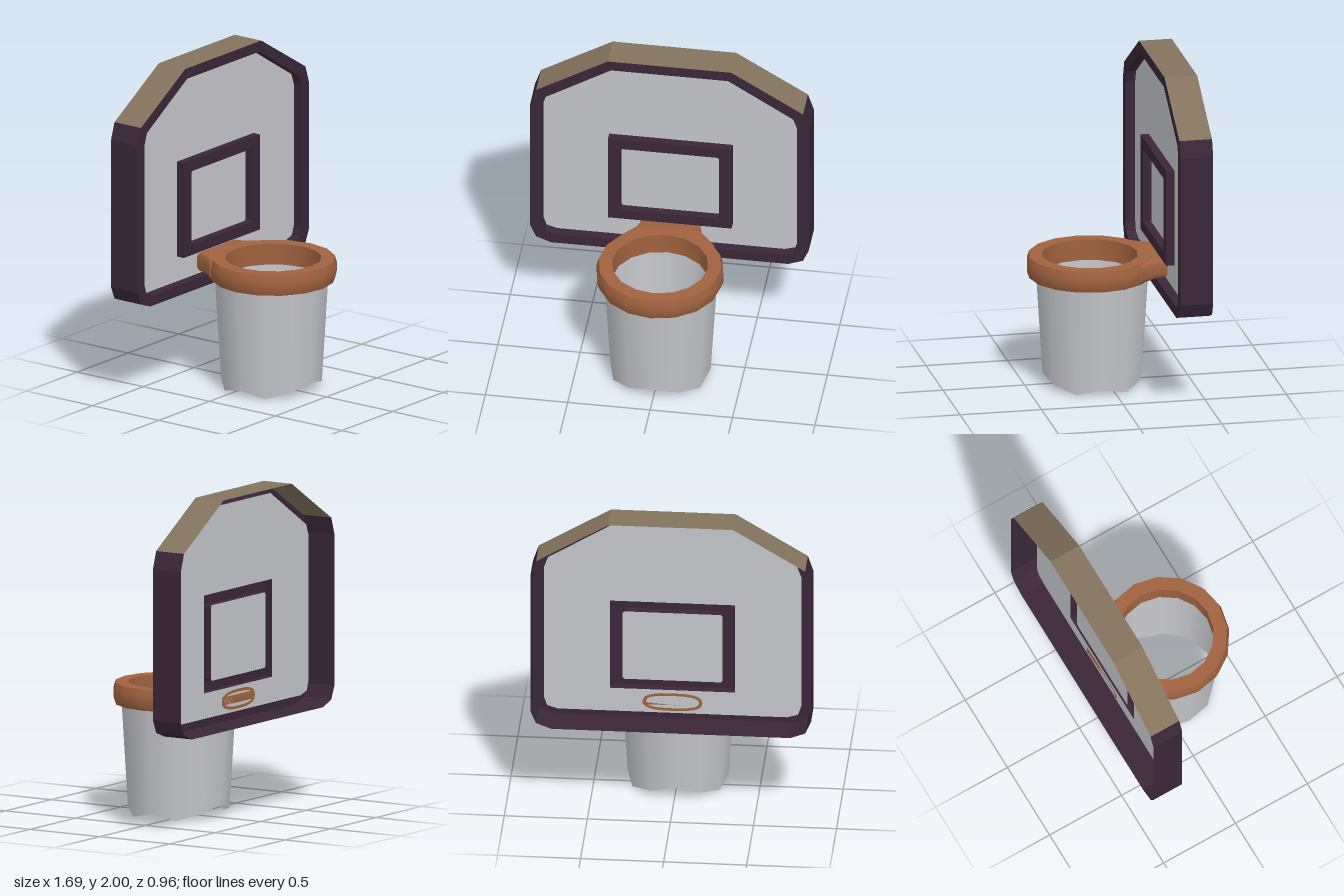
import * as THREE from 'three';
import { toCreasedNormals } from 'three/addons/utils/BufferGeometryUtils.js';

const material = (name, color, side = THREE.DoubleSide) => {
  const m = new THREE.MeshStandardMaterial({ color, side });
  m.name = name;
  return m;
};

const FRONT = -0.28, BACK = -0.48, PANEL = -0.34, TARGET = -0.29;

// Mirrors the right half of an outline (bottom to top) into a full loop
const mirrored = (half) => [...half, ...half.map(([x, y]) => [-x, y]).reverse()];

const shapeOf = (points, holes = []) => {
  const shape = new THREE.Shape(points.map((p) => new THREE.Vector2(...p)));
  for (const h of holes) shape.holes.push(new THREE.Path(h.map((p) => new THREE.Vector2(...p))));
  return shape;
};

// Flat-shaded wall following a polyline, from depth z0 to z1
function wall(points, z0, z1) {
  const pos = [];
  for (let i = 0; i < points.length - 1; i++) {
    const [a, b] = [points[i], points[i + 1]];
    pos.push(...a, z0, ...b, z0, ...b, z1, ...a, z0, ...b, z1, ...a, z1);
  }
  const g = new THREE.BufferGeometry();
  g.setAttribute('position', new THREE.Float32BufferAttribute(pos, 3));
  g.computeVertexNormals();
  return g;
}

export function createModel() {
  const model = new THREE.Group();
  const purple = material('dark purple', 0x3a2638);
  const tan = material('tan', 0x83735d);
  const grey = material('light grey', 0xc4c5ca);
  const orange = material('burnt orange', 0xa0623f);

  const add = (name, geometry, mat, x = 0, y = 0, z = 0) => {
    const mesh = new THREE.Mesh(geometry, mat);
    mesh.name = name;
    mesh.position.set(x, y, z);
    model.add(mesh);
    return mesh;
  };
  const closed = (p) => [...p, p[0]];
  const inward = (p) => closed(p).reverse();

  // Board frame: open-backed shell with a front rim and an inner lip
  const outer = mirrored([[0.72, 0.595], [0.81, 0.63], [0.845, 0.71], [0.845, 1.63], [0.81, 1.735], [0.375, 2]]);
  const inner = mirrored([[0.69, 0.66], [0.755, 0.68], [0.775, 0.74], [0.775, 1.62], [0.75, 1.69], [0.355, 1.935]]);
  add('frameTopWall', wall(outer.slice(4, 8), BACK, FRONT), tan);
  add('frameSideWall', wall([...outer.slice(7), ...outer.slice(0, 5)], BACK, FRONT), purple);
  add('frameRim', new THREE.ShapeGeometry(shapeOf(outer, [inner])), purple, 0, 0, FRONT);
  add('frameLip', wall(inward(inner), PANEL, FRONT), purple);

  // Raised target rectangle, hollow at the back
  const targetOuter = mirrored([[0.375, 0.815], [0.375, 1.41]]);
  const targetInner = mirrored([[0.29, 0.88], [0.3, 0.89], [0.3, 1.33], [0.29, 1.34]]);
  add('targetRim', new THREE.ShapeGeometry(shapeOf(targetOuter, [targetInner])), purple, 0, 0, TARGET);
  add('targetOuterWall', wall(closed(targetOuter), PANEL, TARGET), purple);
  add('targetInnerWall', wall(inward(targetInner), PANEL, TARGET), purple);

  // Board panels around and inside the target
  add('boardPanel', new THREE.ShapeGeometry(shapeOf(inner, [targetOuter])), grey, 0, 0, PANEL);
  add('targetPanel', new THREE.ShapeGeometry(shapeOf(targetInner)), grey, 0, 0, PANEL);

  // Hoop with a softly bulging outside
  const profile = [[0.29, 0.67], [0.37, 0.67], [0.385, 0.71], [0.385, 0.755], [0.372, 0.8], [0.29, 0.8], [0.29, 0.67]];
  const hoop = new THREE.LatheGeometry(profile.map((p) => new THREE.Vector2(...p)), 16);
  add('hoop', toCreasedNormals(hoop, 0.6), orange, 0, 0, 0.1);

  // Neck joining the hoop to the board
  const neckPlan = [[-0.18, PANEL], [0.18, PANEL], [0.2, -0.27], [0.29, -0.16]];
  for (let i = 0; i <= 8; i++) {
    const a = THREE.MathUtils.lerp(0.9, -0.9, i / 8);
    neckPlan.push([0.33 * Math.sin(a), 0.1 - 0.33 * Math.cos(a)]);
  }
  neckPlan.push([-0.29, -0.16], [-0.2, -0.27]);
  const neck = new THREE.ExtrudeGeometry(shapeOf(neckPlan), {
    depth: 0.05, bevelThickness: 0.036, bevelSize: 0.025, bevelOffset: -0.025, bevelSegments: 3,
  });
  neck.rotateX(Math.PI / 2);
  add('hoopNeck', toCreasedNormals(neck, 0.7), orange, 0, 0.762, 0);

  // Oval edge of the neck on the back of the board
  const oval = (rx, ry) => Array.from({ length: 20 }, (_, i) => {
    const a = (i / 20) * Math.PI * 2;
    const soft = (v) => Math.sign(v) * Math.abs(v) ** 0.75;
    return [rx * soft(Math.cos(a)), ry * soft(Math.sin(a))];
  });
  add('neckBackEdge', new THREE.ShapeGeometry(shapeOf(oval(0.18, 0.06), [oval(0.16, 0.042)])),
    orange, 0, 0.735, PANEL - 0.004);

  // Tapered net with a wavy lower edge
  const net = new THREE.CylinderGeometry(0.345, 0.305, 0.64, 12, 1, true);
  net.translate(0, 0.38, 0);
  const hem = [0.07, 0.035, 0, 0.033, 0, 0.035, 0.08, 0.035, 0, 0.033, 0, 0.035, 0.07];
  for (let i = 0; i <= 12; i++) net.attributes.position.setY(13 + i, hem[i]);
  add('net', net, grey, 0, 0, 0.085);

  return model;
}
